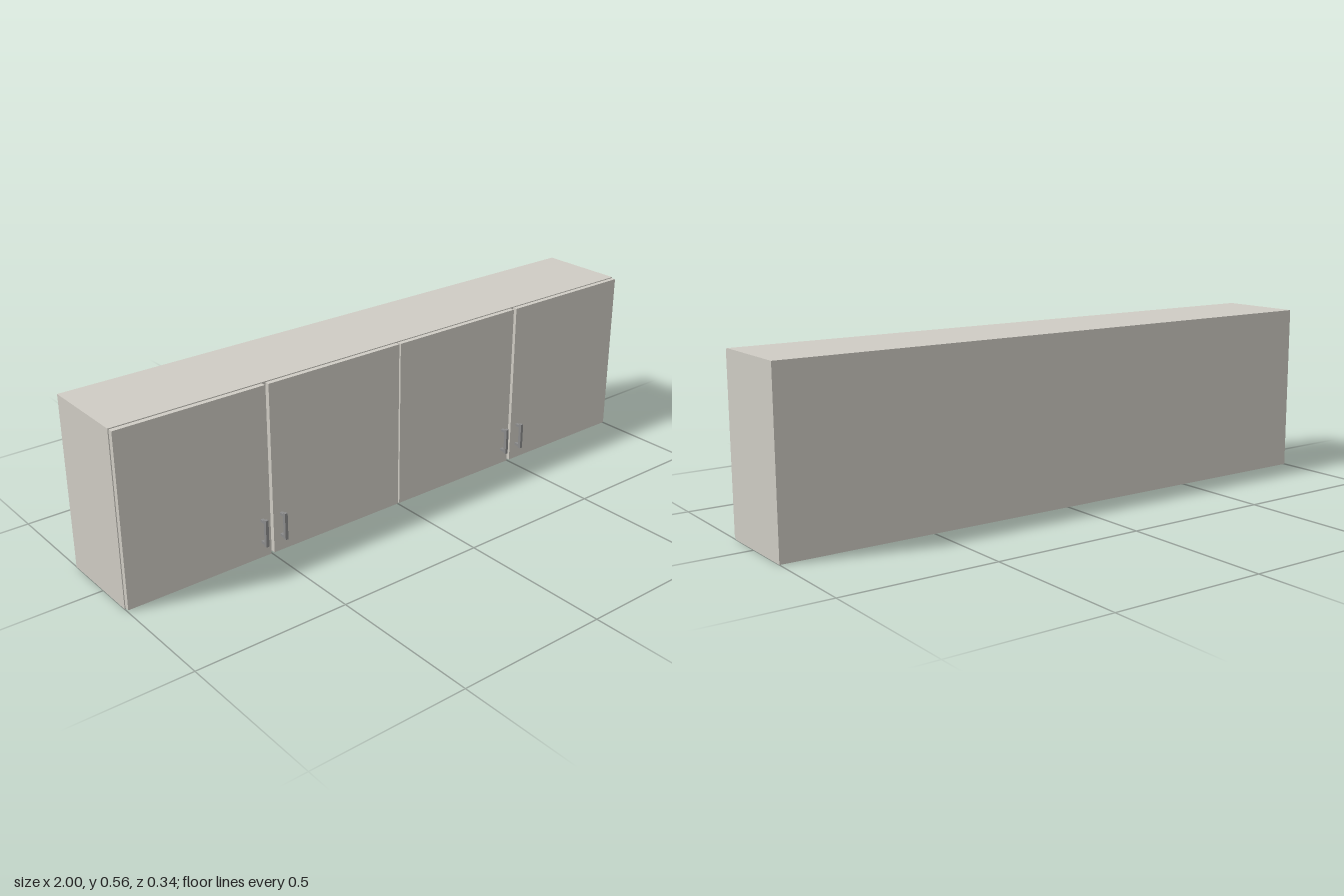
import * as THREE from 'three';

const bodyMaterial = new THREE.MeshStandardMaterial({ color: 0xcfccc4 });
const metalMaterial = new THREE.MeshStandardMaterial({ color: 0x8c8c8c });

// Box given by its low and high limits on each axis
function box(name, [x0, x1], [y0, y1], [z0, z1], material) {
  const mesh = new THREE.Mesh(new THREE.BoxGeometry(x1 - x0, y1 - y0, z1 - z0), material);
  mesh.position.set((x0 + x1) / 2, (y0 + y1) / 2, (z0 + z1) / 2);
  mesh.name = name;
  return mesh;
}

// Bar pull: upright grip on two short posts
function createHandle(x) {
  const handle = new THREE.Group();
  handle.name = 'handle';
  const width = [-0.005, 0.005];
  handle.add(box('handleGrip', width, [0.049, 0.139], [0.157, 0.168], metalMaterial));
  for (const y of [0.057, 0.13]) {
    handle.add(box('handlePost', width, [y - 0.004, y + 0.004], [0.141, 0.157], metalMaterial));
  }
  handle.position.x = x;
  return handle;
}

export function createModel() {
  const cabinet = new THREE.Group();
  cabinet.name = 'wallCabinet';

  // Closed carcass
  cabinet.add(box('carcass', [-1, 1], [0, 0.565], [-0.168, 0.125], bodyMaterial));

  // Four doors in two pairs, with handles beside the meeting edges
  const doorSpans = [[-0.997, -0.506], [-0.494, -0.003], [0.003, 0.494], [0.506, 0.997]];
  const handleXs = [-0.535, -0.465, 0.465, 0.535];
  doorSpans.forEach((span, i) => {
    cabinet.add(box('door', span, [0.003, 0.562], [0.125, 0.141], bodyMaterial));
    cabinet.add(createHandle(handleXs[i]));
  });

  return cabinet;
}
